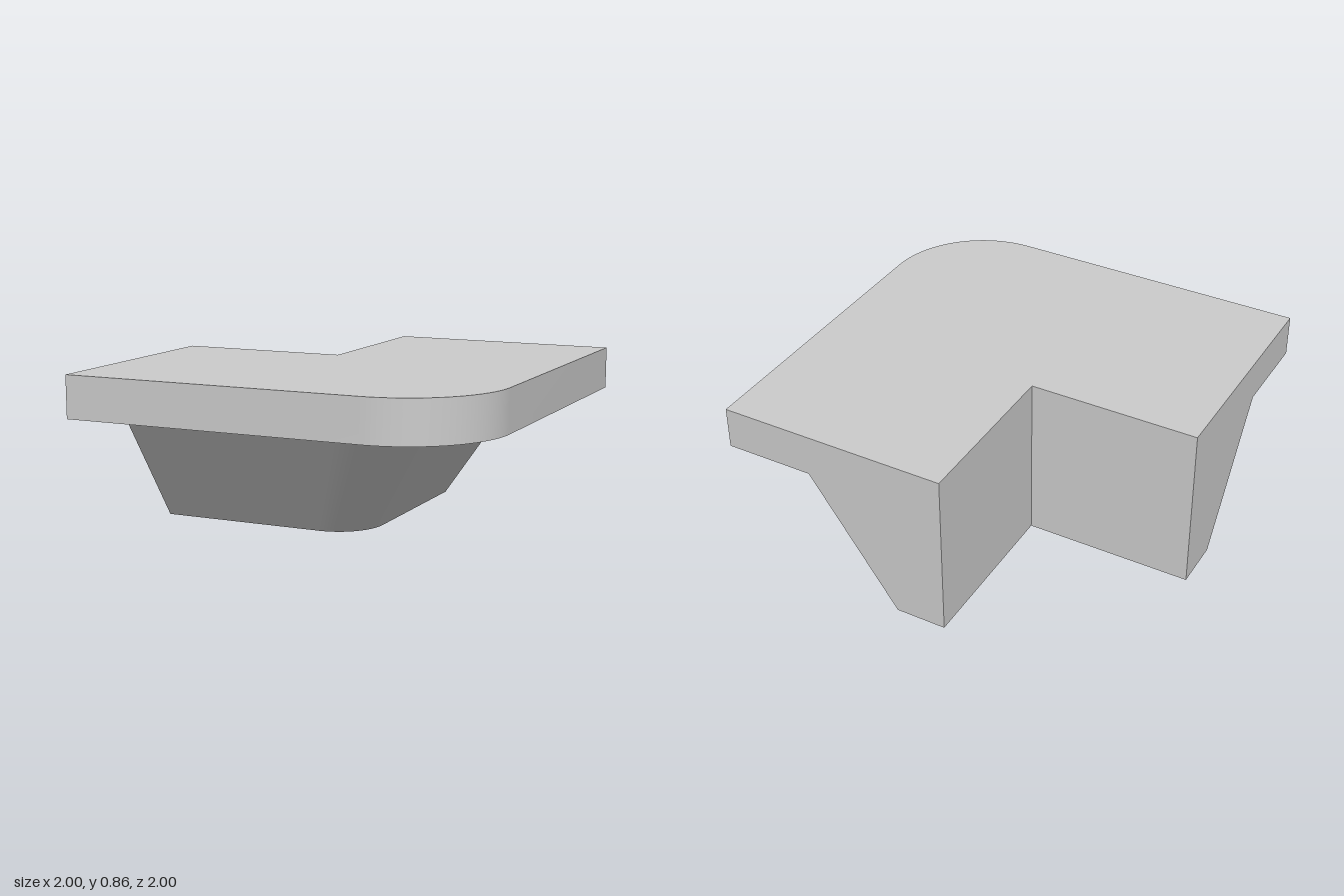
import * as THREE from 'three';
import { toCreasedNormals } from 'three/addons/utils/BufferGeometryUtils.js';

const INNER = -0.15; // both inner walls
const END = -1; // cut ends of the two arms

// L-shaped plan (x, -z) with a rounded outer corner, anticlockwise from above
function outline(outer, radius, segments = 28) {
  const points = [new THREE.Vector2(END, -INNER)];
  points.push(new THREE.Vector2(END, -outer));
  const c = outer - radius;
  for (let i = 0; i <= segments; i++) {
    const a = (i / segments) * Math.PI / 2;
    points.push(new THREE.Vector2(c + radius * Math.sin(a), -(c + radius * Math.cos(a))));
  }
  points.push(new THREE.Vector2(outer, -END));
  points.push(new THREE.Vector2(INNER, -END));
  points.push(new THREE.Vector2(INNER, -INNER));
  return points;
}

// Solid between two plans with equal point counts
function loft(lower, y0, upper, y1, capTop) {
  const n = lower.length;
  const positions = [];
  const index = [];
  for (const p of lower) positions.push(p.x, y0, -p.y);
  for (const p of upper) positions.push(p.x, y1, -p.y);
  for (let i = 0; i < n; i++) {
    const j = (i + 1) % n;
    index.push(i, j, n + j, i, n + j, n + i);
  }
  for (const [a, b, c] of THREE.ShapeUtils.triangulateShape(lower, [])) index.push(a, c, b);
  if (capTop) {
    for (const [a, b, c] of THREE.ShapeUtils.triangulateShape(upper, [])) index.push(n + a, n + b, n + c);
  }
  const geometry = new THREE.BufferGeometry();
  geometry.setAttribute('position', new THREE.Float32BufferAttribute(positions, 3));
  geometry.setIndex(index);
  return toCreasedNormals(geometry, 0.5);
}

export function createModel() {
  const group = new THREE.Group();
  group.name = 'cornerLedge';
  const material = new THREE.MeshStandardMaterial({ color: 0xcccccc });

  const add = (name, geometry) => {
    const mesh = new THREE.Mesh(geometry, material);
    mesh.name = name;
    group.add(mesh);
  };

  // Flat slab with a large rounded corner
  const slab = outline(1, 0.5);
  add('slab', loft(slab, 0.645, slab, 0.855, true));

  // Support below, its outer walls sloping inwards to a narrow foot
  add('slopedSupport', loft(outline(0.105, 0.24), 0, outline(0.555, 0.38), 0.645, false));

  return group;
}
